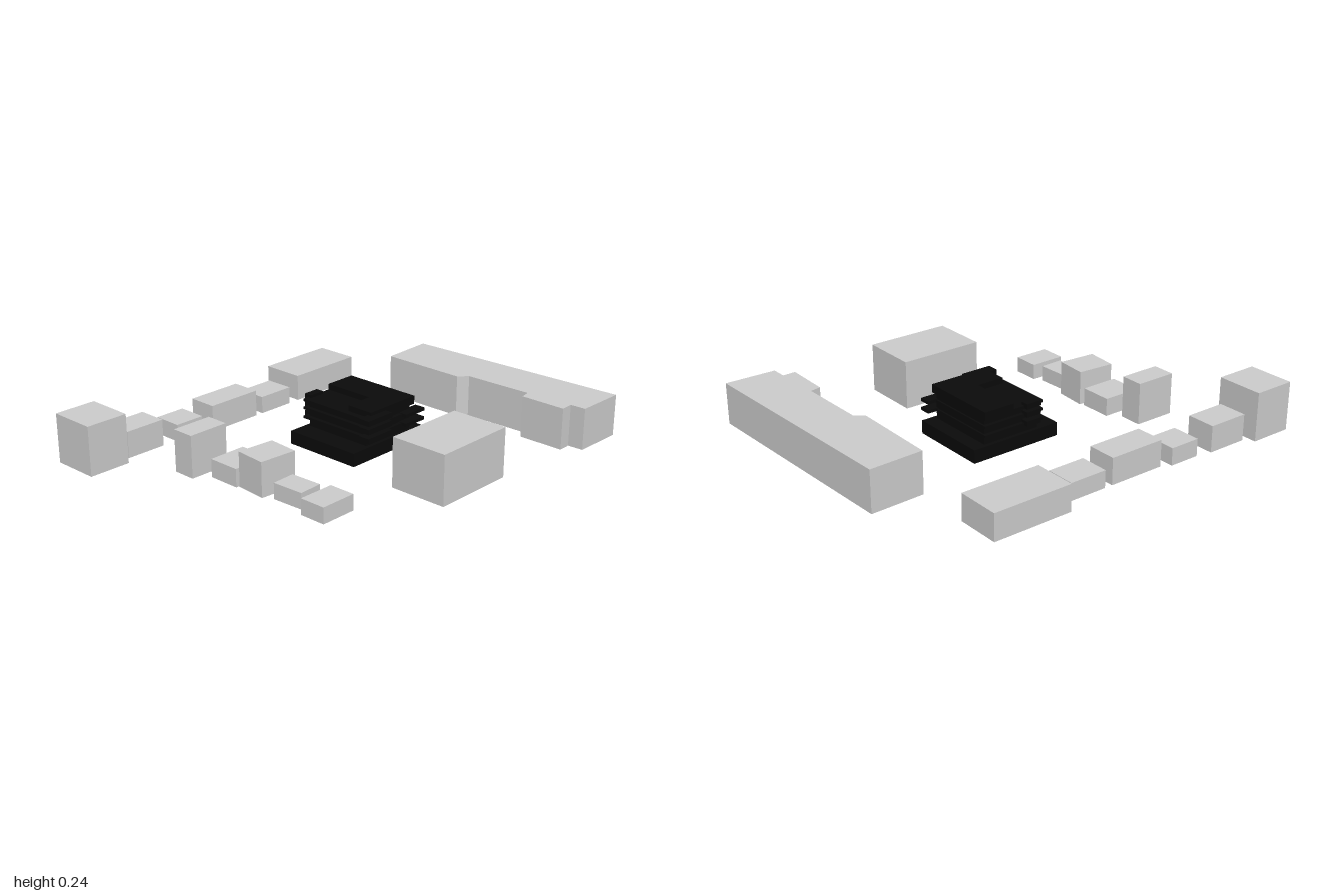
import * as THREE from 'three';

const grey = new THREE.MeshStandardMaterial({ color: 0xcccccc, flatShading: true });
const black = new THREE.MeshStandardMaterial({ color: 0x0a0a0a, flatShading: true });

// Box given by its x, y and z ranges
function block(name, x0, x1, y0, y1, z0, z1, material = grey) {
  const mesh = new THREE.Mesh(new THREE.BoxGeometry(x1 - x0, y1 - y0, z1 - z0), material);
  mesh.position.set((x0 + x1) / 2, (y0 + y1) / 2, (z0 + z1) / 2);
  mesh.name = name;
  return mesh;
}

// Upright prism over a footprint of [x, z] corners
function prism(name, corners, height) {
  const shape = new THREE.Shape(corners.map(([x, z]) => new THREE.Vector2(x, -z)));
  const geometry = new THREE.ExtrudeGeometry(shape, { depth: height, bevelEnabled: false });
  geometry.rotateX(-Math.PI / 2);
  const mesh = new THREE.Mesh(geometry, grey);
  mesh.name = name;
  return mesh;
}

// Dark building in the middle: plinth, stepped storeys, balconies
function createCentralBuilding() {
  const g = new THREE.Group();
  g.name = 'centralBuilding';
  const add = (...a) => g.add(block(...a, black));
  add('plinth', -0.22, 0.18, 0, 0.065, -0.35, 0.125);
  add('storeys', -0.2, 0.16, 0.065, 0.19, -0.28, 0.02);
  add('backPenthouse', -0.22, 0.18, 0.19, 0.23, -0.29, -0.13);
  add('sidePenthouse', 0.04, 0.18, 0.19, 0.23, -0.13, 0.01);

  // Floor slabs with balconies on three sides
  for (const y of [0.105, 0.15, 0.19]) {
    add('floorSlab', -0.22, 0.18, y, y + 0.012, -0.29, 0.04);
    add('leftBalcony', -0.24, -0.2, y, y + 0.025, -0.07, 0.01);
    add('rightBalcony', 0.16, 0.22, y, y + 0.025, -0.09, 0.07);
  }
  for (const y of [0.105, 0.15]) add('cornerBalcony', 0.15, 0.205, y, y + 0.015, -0.335, -0.205);
  return g;
}

export function createModel() {
  const model = new THREE.Group();
  model.name = 'cityBlock';
  model.add(createCentralBuilding());

  // Straight houses: x range, z range, height
  const houses = [
    ['leftRowHouse', -0.815, -0.6, -0.7, -0.3, 0.13],
    ['leftRowHouse', -0.745, -0.6, -0.24, -0.05, 0.085],
    ['leftRowHouse', -0.745, -0.6, -0.01, 0.275, 0.13],
    ['leftRowHouse', -0.77, -0.625, 0.32, 0.475, 0.085],
    ['leftRowHouse', -0.785, -0.64, 0.55, 0.755, 0.13],
    ['cornerHouse', -0.83, -0.597, 0.79, 1, 0.24],
    ['frontRowHouse', -0.367, -0.254, 0.5, 0.705, 0.205],
    ['frontRowHouse', -0.205, -0.045, 0.445, 0.635, 0.088],
    ['frontRowHouse', 0.353, 0.483, 0.455, 0.635, 0.077],
    ['sideBuilding', 0.45, 0.737, -0.25, 0.17, 0.24],
  ];
  for (const [name, x0, x1, z0, z1, h] of houses) model.add(block(name, x0, x1, 0, h, z0, z1));

  // Houses standing at a slight angle
  model.add(prism('frontRowHouse', [[-0.025, 0.435], [-0.04, 0.62], [0.115, 0.633], [0.13, 0.447]], 0.168));
  model.add(prism('frontRowHouse', [[0.155, 0.487], [0.16, 0.605], [0.318, 0.598], [0.313, 0.48]], 0.077));

  // Long building along the back with two front wings
  model.add(prism('backBuilding', [
    [-0.325, -0.955], [-0.315, -0.688], [0.12, -0.684], [0.16, -0.728], [0.505, -0.735],
    [0.515, -0.682], [0.745, -0.68], [0.743, -0.745], [0.82, -0.747], [0.825, -1],
  ], 0.205));
  return model;
}
